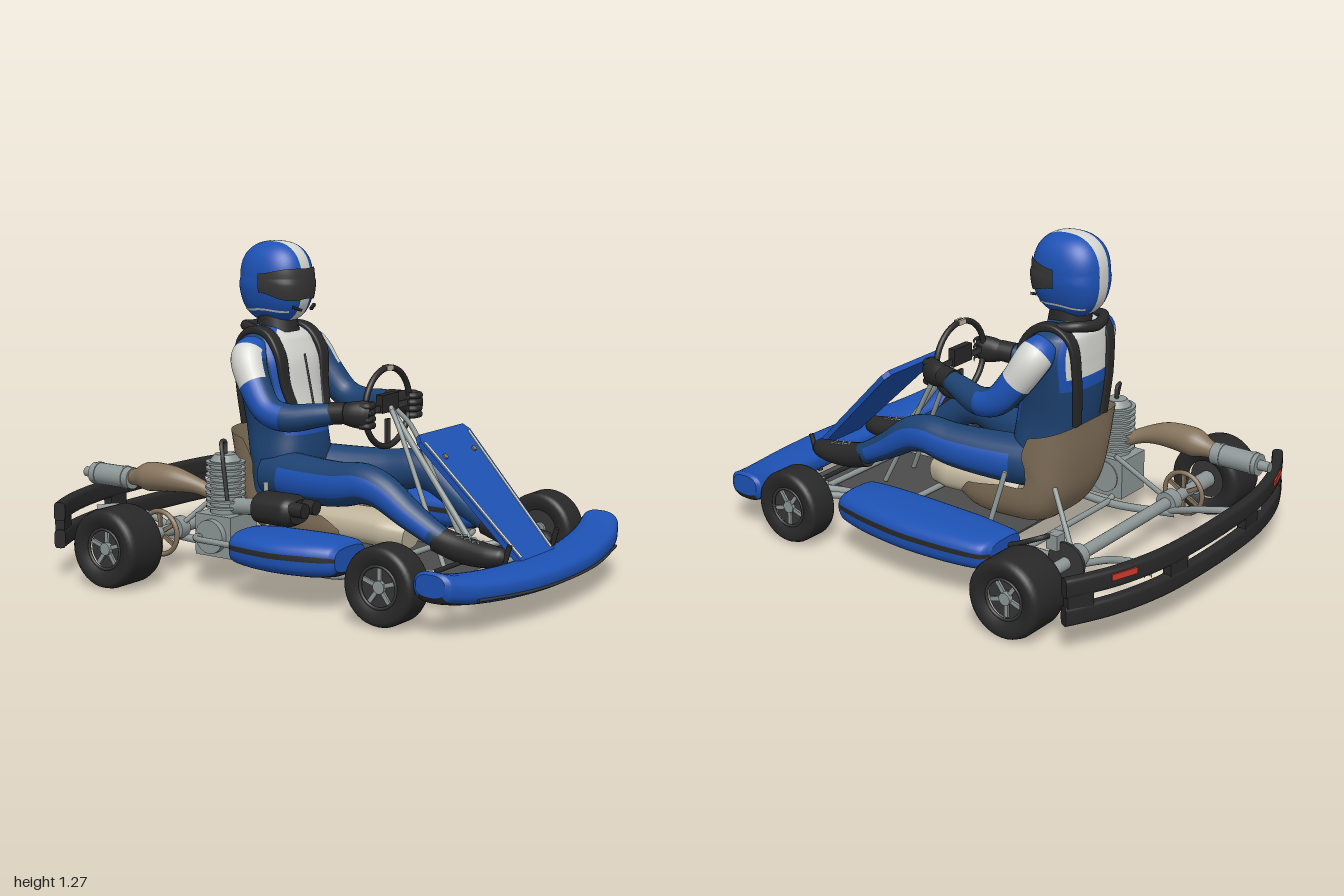
import * as THREE from 'three';

const mat = (name, color, side = THREE.FrontSide) => new THREE.MeshStandardMaterial({ name, color, side });
const V = (x, y, z) => new THREE.Vector3(x, y, z);
const X = V(1, 0, 0), Y = V(0, 1, 0), Z = V(0, 0, 1);

// Sweep of superellipse sections; rows are [x, y, z, halfU, halfV], U lies along ref, dir fixes the section normal
function sweep(rows, { ref = X, dir = null, n = 2, seg = 24, step = 5 } = {}) {
  const path = new THREE.CatmullRomCurve3(rows.map(r => V(r[0], r[1], r[2])));
  const size = new THREE.CatmullRomCurve3(rows.map(r => V(r[3], r[4] ?? r[3], 0)));
  const m = (rows.length - 1) * step, pos = [], idx = [];
  const ring = t => {
    const c = path.getPoint(t), s = size.getPoint(t), d = dir ?? path.getTangent(t);
    const u = ref.clone().addScaledVector(d, -ref.dot(d)).normalize(), v = d.clone().cross(u);
    for (let j = 0; j < seg; j++) {
      const a = j / seg * Math.PI * 2, f = k => Math.sign(k) * Math.abs(k) ** (2 / n);
      pos.push(...c.clone().addScaledVector(u, s.x * f(Math.cos(a))).addScaledVector(v, s.y * f(Math.sin(a))).toArray());
    }
    return c;
  };
  for (let i = 0; i <= m; i++) ring(i / m);
  for (let i = 0; i < m; i++) for (let j = 0; j < seg; j++) {
    const a = i * seg + j, b = i * seg + (j + 1) % seg;
    idx.push(a, b, a + seg, b, b + seg, a + seg);
  }
  for (const end of [0, 1]) {
    const b = pos.length / 3, c = ring(end);
    pos.push(...c.toArray());
    for (let j = 0; j < seg; j++) {
      const k = b + (j + 1) % seg;
      idx.push(b + seg, end ? b + j : k, end ? k : b + j);
    }
  }
  const g = new THREE.BufferGeometry();
  g.setAttribute('position', new THREE.Float32BufferAttribute(pos, 3));
  g.setIndex(idx);
  g.computeVertexNormals();
  return g;
}

// Sorts faces into material groups by their centre and their number
function paint(g, mats, pick) {
  const p = g.attributes.position, old = g.index.array, sets = mats.map(() => []);
  for (let i = 0; i < old.length; i += 3) {
    const t = [old[i], old[i + 1], old[i + 2]], mean = f => (p[f](t[0]) + p[f](t[1]) + p[f](t[2])) / 3;
    sets[pick(mean('getX'), mean('getY'), mean('getZ'), i / 3)].push(...t);
  }
  g.setIndex(sets.flat());
  let start = 0;
  sets.forEach((s, i) => { g.addGroup(start, s.length, i); start += s.length; });
  return g;
}
// Row of a swept face, and how far it faces along ref (-1 to 1)
const rowOf = (k, seg) => Math.floor(k / (2 * seg));
const facing = (k, seg) => Math.cos((Math.floor(k / 2) % seg + 0.5) / seg * Math.PI * 2);

export function createModel() {
  const blue = mat('blue', 0x1d52b5), navy = mat('navy', 0x1d4272), white = mat('white', 0xd6d6d2);
  const black = mat('black', 0x282828), charcoal = mat('charcoal', 0x363636), grey = mat('metal grey', 0x8d9696);
  const tan = mat('tan', 0x85735c, THREE.DoubleSide), beige = mat('beige', 0xc0b59c), red = mat('red', 0xd0382a);
  const floorGrey = mat('floor grey', 0x4c4c4c);
  const root = new THREE.Group();
  root.name = 'kart';
  const add = (name, geo, m, x = 0, y = 0, z = 0, parent = root) => {
    const o = new THREE.Mesh(geo, m);
    o.name = name; o.position.set(x, y, z); parent.add(o);
    return o;
  };
  const box = (name, m, w, h, d, x, y, z) => add(name, new THREE.BoxGeometry(w, h, d), m, x, y, z);
  const tube = (name, pts, r, m = grey) =>
    add(name, new THREE.TubeGeometry(new THREE.CatmullRomCurve3(pts.map(p => V(...p))), pts.length * 8, r, 10), m);
  const rod = (name, a, b, r, m = grey, r2 = r) => {
    const A = V(...a), B = V(...b), d = B.clone().sub(A);
    const o = add(name, new THREE.CylinderGeometry(r2, r, d.length(), 20), m);
    o.position.copy(A.add(B).multiplyScalar(0.5));
    o.quaternion.setFromUnitVectors(Y, d.normalize());
  };
  const flip = (rows, s) => rows.map(([x, ...rest]) => [x * s, ...rest]);

  // Wheels
  function wheel(name, x, y, z, R, W) {
    const g = new THREE.Group(), h = W / 2, s = Math.sign(x);
    g.name = name; g.position.set(x, y, z); g.rotation.z = -s * Math.PI / 2; root.add(g);
    const half = [[0.078, 0.8], [R * 0.7, 0.98], [R * 0.87, 1], [R * 0.96, 0.9], [R, 0.68]];
    const prof = [...half.map(([r, k]) => [r, -k * h]), ...half.slice().reverse().map(([r, k]) => [r, k * h])];
    add('tyre', new THREE.LatheGeometry(prof.map(p => new THREE.Vector2(...p)), 40), black, 0, 0, 0, g);
    add('rimDisc', new THREE.CylinderGeometry(0.08, 0.08, W * 0.6, 32), charcoal, 0, 0, 0, g);
    const lip = add('rimLip', new THREE.TorusGeometry(0.076, 0.006, 8, 36), charcoal, 0, h * 0.8, 0, g);
    lip.rotation.x = Math.PI / 2;
    add('hub', new THREE.CylinderGeometry(0.024, 0.028, W * 0.8, 16), grey, 0, 0, 0, g);
    for (let i = 0; i < 5; i++) {
      const a = i / 5 * Math.PI * 2;
      const sp = add('spoke', new THREE.BoxGeometry(0.062, 0.014, 0.016), grey, Math.cos(a) * 0.042, h * 0.62, Math.sin(a) * 0.042, g);
      sp.rotation.y = -a;
    }
  }

  // Front bumper with dark underside and trim line
  const nose = [[0.615, 0.187, 0.795, 0.04, 0.06], [0.6, 0.18, 0.797, 0.056, 0.079], [0.5, 0.158, 0.83, 0.052, 0.09],
    [0.25, 0.14, 0.88, 0.05, 0.097]];
  add('frontBumper', paint(sweep([...flip(nose, -1), [0, 0.137, 0.895, 0.05, 0.1], ...nose.slice().reverse()], { ref: Y, dir: X, n: 2.6, seg: 32 }),
    [blue, black], (x, y, z, k) => rowOf(k, 32) < 40 && facing(k, 32) < -0.75 ? 1 : 0), [blue, black]);
  add('bumperTrim', sweep([[-0.5, 0.13, 0.918, 0.006], [-0.25, 0.118, 0.974, 0.006], [0, 0.115, 0.99, 0.006], [0.25, 0.118, 0.974, 0.006],
    [0.5, 0.13, 0.918, 0.006]], { ref: Y, seg: 8 }), charcoal);

  // Sloping front panel
  const panel = new THREE.Group();
  panel.name = 'frontPanel'; panel.position.set(0, 0.18, 0.87); panel.rotation.x = -Math.PI / 4; root.add(panel);
  const sheet = (pts, d) => new THREE.ExtrudeGeometry(new THREE.Shape(pts.map(p => new THREE.Vector2(...p))), { depth: d, bevelEnabled: false });
  add('panelSheet', sheet([[-0.12, 0], [0.12, 0], [0.17, 0.575], [0.15, 0.605], [-0.15, 0.605], [-0.17, 0.575]], 0.022), blue, 0, 0, -0.022, panel);
  for (const s of [-1, 1]) {
    const line = [[0.1, 0.02], [0.113, 0.02], [0.158, 0.57], [0.145, 0.57]].map(([x, y]) => [x * s, y]);
    add('panelStripe', sheet(s > 0 ? line : line.reverse(), 0.003), white, 0, 0, 0, panel);
    const bolt = add('panelBolt', new THREE.CylinderGeometry(0.011, 0.011, 0.008, 12), tan, s * 0.1, 0.49, 0.003, panel);
    bolt.rotation.x = Math.PI / 2;
  }

  // Side pods: the engine side is shorter
  for (const [s, z0] of [[1, -0.385], [-1, -0.1]]) {
    const rows = [[0, 0.395, 0.575, 0.045], [0.03, 0.385, 0.61, 0.06], [0.25, 0.368, 0.637, 0.069], [0.5, 0.36, 0.642, 0.071],
      [0.78, 0.358, 0.615, 0.071], [0.96, 0.36, 0.58, 0.062], [1, 0.37, 0.56, 0.045]]
      .map(([t, a, b, h]) => [s * (a + b) / 2, 0.194, z0 + (0.355 - z0) * t, h, (b - a) / 2]);
    add('sidePod', paint(sweep(rows, { ref: Y, dir: Z, n: 3, seg: 40 }), [blue, black], (x, y, z, k) =>
      rowOf(k, 40) < 30 && (facing(k, 40) < -0.7 || Math.abs(facing(k, 40) - 0.08) < 0.08) ? 1 : 0), [blue, black]);
  }

  // Rear bumper: two curved rails, posts and red markers
  const rearZ = x => -0.973 + 0.155 * (Math.abs(x) / 0.73) ** 2.8;
  const xs = [-0.73, -0.7, -0.55, -0.35, -0.15, 0.15, 0.35, 0.55, 0.7, 0.73];
  for (const y of [0.262, 0.155])
    add('rearBumperRail', sweep(xs.map(x => [x, y, rearZ(x), 0.036, 0.022]), { ref: Y, n: 4 }), black);
  for (const x of [-0.68, -0.25, 0.25, 0.68]) {
    const p = box('rearBumperPost', black, 0.1, 0.12, 0.036, x, 0.21, rearZ(x));
    p.rotation.y = -Math.atan(rearZ(x + 0.01) * 100 - rearZ(x) * 100);
  }
  for (const s of [-1, 1]) {
    const p = box('redMarker', red, 0.11, 0.024, 0.008, s * 0.53, 0.272, rearZ(0.53) - 0.023);
    p.rotation.y = -s * 0.32;
  }

  // Chassis
  const floor = add('floorPan', sheet([[-0.21, -0.8], [0.21, -0.8], [0.25, -0.35], [0.295, -0.05], [0.27, 0.2], [-0.27, 0.2], [-0.295, -0.05], [-0.25, -0.35]], 0.008), floorGrey, 0, 0.082, 0);
  floor.rotation.x = -Math.PI / 2;
  for (const s of [-1, 1]) {
    tube('mainRail', flip([[0.3, 0.12, -0.62], [0.27, 0.1, -0.35], [0.3, 0.1, 0.05], [0.25, 0.1, 0.32], [0.27, 0.1, 0.58], [0.37, 0.11, 0.77]], s), 0.016);
    tube('bumperStay', flip([[0.39, 0.2, -0.94], [0.31, 0.2, -0.88], [0.28, 0.17, -0.72], [0.3, 0.12, -0.58]], s), 0.014);
    rod('seatStay', [s * 0.2, 0.34, -0.4], [s * 0.32, 0.16, -0.57], 0.01);
    rod('seatStrut', [s * 0.24, 0.37, -0.2], [s * 0.29, 0.12, -0.15], 0.01);
    rod('axleBearing', [s * 0.29, 0.155, -0.58], [s * 0.34, 0.155, -0.58], 0.045);
    rod('rearHub', [s * 0.5, 0.155, -0.58], [s * 0.6, 0.155, -0.58], 0.034);
    rod('kingpin', [s * 0.42, 0.09, 0.57], [s * 0.42, 0.21, 0.57], 0.016);
    rod('stubAxle', [s * 0.4, 0.15, 0.57], [s * 0.55, 0.15, 0.57], 0.016);
    for (const z of [0.45, 0.68]) rod('frontArm', [s * 0.27, 0.105, z], [s * 0.42, 0.14, 0.57], 0.014);
    rod('steeringArm', [s * 0.42, 0.16, 0.57], [s * 0.35, 0.16, 0.64], 0.009);
    tube('columnBrace', flip([[0.09, 0.1, 0.52], [0.07, 0.29, 0.43], [0.04, 0.6, 0.28], [0.015, 0.66, 0.23]], s), 0.01);
    rod('pedal', [s * 0.17, 0.1, 0.8], [s * 0.17, 0.25, 0.845], 0.01, black);
    wheel('frontWheel', s * 0.555, 0.148, 0.575, 0.145, 0.13);
    wheel('rearWheel', s * 0.67, 0.152, -0.575, 0.152, 0.19);
  }
  for (const [z, w] of [[-0.33, 0.27], [0.3, 0.25], [0.66, 0.3]]) rod('crossTube', [-w, 0.107, z], [w, 0.107, z], 0.012);
  tube('podBar', [[0.28, 0.1, -0.33], [0.42, 0.14, -0.33], [0.48, 0.12, -0.2], [0.48, 0.115, 0.25], [0.43, 0.12, 0.32], [0.26, 0.1, 0.32]], 0.012);
  tube('podBar', [[-0.28, 0.1, -0.32], [-0.5, 0.19, -0.32], [-0.57, 0.2, -0.27], [-0.585, 0.2, -0.08], [-0.48, 0.12, 0.28], [-0.26, 0.1, 0.32]], 0.012);
  rod('rearAxle', [-0.6, 0.155, -0.58], [0.6, 0.155, -0.58], 0.024);
  rod('tieRod', [-0.35, 0.16, 0.64], [0.35, 0.16, 0.64], 0.009, black);
  rod('brakeDisc', [0.37, 0.155, -0.58], [0.382, 0.155, -0.58], 0.08, charcoal);
  box('brakeCaliper', grey, 0.05, 0.06, 0.05, 0.375, 0.23, -0.53);
  tube('brakeLine', [[0.37, 0.25, -0.52], [0.43, 0.25, -0.5], [0.46, 0.2, -0.38], [0.43, 0.14, -0.2]], 0.01, black);
  const sprocket = add('sprocket', new THREE.TorusGeometry(0.085, 0.01, 8, 36), tan, -0.42, 0.155, -0.58);
  sprocket.rotation.y = Math.PI / 2;
  for (let i = 0; i < 3; i++) box('sprocketSpoke', tan, 0.01, 0.165, 0.016, -0.42, 0.155, -0.58).rotation.x = i * Math.PI / 3;

  // Engine, intake and exhaust
  box('crankcase', grey, 0.16, 0.16, 0.17, -0.385, 0.19, -0.28);
  rod('crankCover', [-0.49, 0.19, -0.28], [-0.3, 0.19, -0.28], 0.065);
  rod('cylinderCore', [-0.385, 0.25, -0.28], [-0.385, 0.47, -0.28], 0.06);
  for (let i = 0; i < 8; i++) rod('coolingFin', [-0.385, 0.29 + i * 0.024, -0.28], [-0.385, 0.299 + i * 0.024, -0.28], 0.076);
  rod('cylinderHead', [-0.385, 0.47, -0.28], [-0.385, 0.495, -0.28], 0.06, grey, 0.04);
  tube('sparkLead', [[-0.385, 0.49, -0.28], [-0.385, 0.54, -0.28], [-0.42, 0.545, -0.27], [-0.44, 0.5, -0.25], [-0.45, 0.33, -0.22]], 0.008, charcoal);
  rod('carburettor', [-0.39, 0.3, -0.23], [-0.4, 0.315, -0.08], 0.032);
  add('airbox', sweep([[-0.41, 0.32, -0.1, 0.05, 0.04], [-0.41, 0.32, -0.08, 0.075, 0.058], [-0.41, 0.32, 0.05, 0.078, 0.06], [-0.41, 0.32, 0.09, 0.06, 0.045]], { n: 2.5 }), black);
  for (const x of [-0.445, -0.375]) rod('intakeSnout', [x, 0.335, 0.06], [x, 0.335, 0.14], 0.028, black);
  add('exhaustPipe', sweep([[-0.385, 0.33, -0.33, 0.024], [-0.41, 0.36, -0.4, 0.032], [-0.43, 0.378, -0.5, 0.05], [-0.43, 0.375, -0.61, 0.057],
    [-0.428, 0.365, -0.68, 0.036], [-0.425, 0.358, -0.74, 0.024]]), tan);
  rod('silencer', [-0.425, 0.355, -0.71], [-0.425, 0.355, -0.91], 0.043);
  for (const z of [-0.74, -0.88]) rod('silencerBand', [-0.425, 0.355, z], [-0.425, 0.355, z - 0.012], 0.046);
  rod('tailpipe', [-0.425, 0.355, -0.9], [-0.425, 0.355, -0.955], 0.02);

  // Seat shell: a curled strip; stations are [y, z, halfWidth, rim rise in y, rim rise in z]
  const stations = [[0.16, 0.08, 0.15, 0.04, 0], [0.125, 0.02, 0.18, 0.13, 0], [0.12, -0.15, 0.2, 0.17, 0], [0.15, -0.3, 0.21, 0.16, 0.04],
    [0.25, -0.375, 0.22, 0.13, 0.1], [0.4, -0.41, 0.235, 0.05, 0.14], [0.56, -0.425, 0.245, -0.03, 0.12]];
  const sA = new THREE.CatmullRomCurve3(stations.map(s => V(s[2], s[0], s[1])));
  const sB = new THREE.CatmullRomCurve3(stations.map(s => V(0, s[3], s[4])));
  const seat = new THREE.PlaneGeometry(2, 1, 24, 30), sp = seat.attributes.position;
  for (let i = 0; i < sp.count; i++) {
    const u = sp.getX(i), t = Math.min(1, Math.max(0, sp.getY(i) + 0.5)), c = sA.getPoint(t), r = sB.getPoint(t), k = Math.abs(u) ** 3;
    sp.setXYZ(i, c.x * Math.sin(u * Math.PI / 2), c.y + r.y * k, c.z + r.z * k);
  }
  seat.computeVertexNormals();
  add('seat', seat, tan);
  add('fuelTank', sweep([[0, 0.2, -0.13, 0.07, 0.05], [0, 0.2, -0.06, 0.095, 0.065], [0, 0.195, 0.2, 0.1, 0.065], [0, 0.18, 0.31, 0.06, 0.05]], { n: 2.6 }), beige);

  // Steering
  add('steeringWheel', new THREE.TorusGeometry(0.15, 0.012, 12, 48), black, 0, 0.668, 0.2);
  rod('steeringColumn', [0, 0.67, 0.21], [0, 0.14, 0.62], 0.012);
  box('steeringDisplay', black, 0.11, 0.07, 0.03, 0, 0.685, 0.2);
  for (const a of [0, Math.PI, -Math.PI / 2])
    box('steeringSpoke', charcoal, 0.1, 0.024, 0.01, Math.cos(a) * 0.095, 0.668 + Math.sin(a) * 0.095, 0.2).rotation.z = a;
  box('wheelMark', beige, 0.04, 0.02, 0.026, 0, 0.818, 0.2);

  // Driver body
  const suit = [blue, navy, white];
  add('torso', paint(sweep([[0, 0.3, -0.25, 0.17, 0.12], [0, 0.45, -0.26, 0.165, 0.14], [0, 0.55, -0.275, 0.155, 0.145], [0, 0.7, -0.3, 0.172, 0.135],
    [0, 0.82, -0.31, 0.19, 0.122], [0, 0.9, -0.325, 0.165, 0.1], [0, 0.95, -0.33, 0.08, 0.06]], { n: 2.5, seg: 56, step: 8, dir: Y }), suit, (x, y, z, k) => {
    const row = rowOf(k, 56), side = Math.abs(facing(k, 56)), front = z > -0.29;
    if (row < 15) return 1;
    if (row > 47 || (side < (front ? 0.62 : 0.72) && row >= (front ? 18 : 27))) return 2;
    return side > 0.85 || (!front && row < 24) ? 1 : 0;
  }), suit);
  rod('zip', [0, 0.6, -0.137], [0, 0.84, -0.19], 0.004, charcoal);
  rod('collar', [0, 0.92, -0.32], [0, 1.0, -0.325], 0.085, black, 0.075);
  add('neckBrace', sweep([[-0.12, 0.935, -0.34, 0.018], [-0.09, 0.945, -0.41, 0.02], [0, 0.935, -0.44, 0.022], [0.09, 0.945, -0.41, 0.02], [0.12, 0.935, -0.34, 0.018]], { ref: Y }), black);

  for (const s of [-1, 1]) {
    const part = (name, rows, m, opt) => add(name, sweep(flip(rows, s), opt), m);
    part('harnessStrap', [[0.085, 0.58, -0.145, 0.022, 0.009], [0.122, 0.72, -0.188, 0.026, 0.01], [0.135, 0.85, -0.208, 0.029, 0.014], [0.128, 0.925, -0.27, 0.028, 0.016],
      [0.122, 0.935, -0.35, 0.027, 0.014], [0.116, 0.89, -0.41, 0.026, 0.01], [0.105, 0.75, -0.428, 0.024, 0.01], [0.085, 0.56, -0.418, 0.022, 0.01]], black, { n: 4 });
    // Sleeves: white shoulder patch, blue outer side, navy inside and forearm
    add('arm', paint(sweep(flip([[0.15, 0.875, -0.32, 0.055], [0.205, 0.835, -0.305, 0.07], [0.237, 0.74, -0.25, 0.063], [0.256, 0.655, -0.175, 0.057],
      [0.25, 0.632, -0.09, 0.055], [0.215, 0.648, 0.03, 0.046], [0.185, 0.662, 0.12, 0.036]], s), { step: 8 }), suit, (x, y, z, k) => {
      const row = rowOf(k, 24), out = facing(k, 24) * s;
      if (row < 16) return row > 5 && out > -0.05 ? 2 : row < 10 ? 0 : 1;
      return row < 31 && out > 0.6 ? 0 : 1;
    }), suit);
    part('gloveCuff', [[0.195, 0.658, 0.08, 0.043], [0.183, 0.663, 0.14, 0.041]], black);
    part('glove', [[0.185, 0.66, 0.12, 0.036, 0.036], [0.176, 0.66, 0.17, 0.04, 0.05], [0.165, 0.66, 0.21, 0.038, 0.054], [0.16, 0.658, 0.235, 0.025, 0.042]], black);
    for (let i = 0; i < 4; i++) {
      const y = 0.62 + i * 0.025;
      tube('finger', [[s * 0.185, y, 0.2], [s * 0.175, y, 0.23], [s * 0.145, y, 0.232], [s * 0.125, y, 0.212]], 0.013, black);
    }
    // Trousers with a narrow blue side stripe
    add('leg', paint(sweep(flip([[0.09, 0.375, -0.26, 0.1], [0.13, 0.375, -0.1, 0.09, 0.095], [0.168, 0.385, 0.1, 0.078, 0.086], [0.18, 0.403, 0.22, 0.07, 0.077],
      [0.182, 0.385, 0.3, 0.064, 0.07], [0.178, 0.31, 0.42, 0.056], [0.172, 0.24, 0.55, 0.045], [0.168, 0.215, 0.62, 0.042]], s), { step: 8 }), [blue, navy], (x, y, z, k) => {
      const row = rowOf(k, 24);
      return row > 4 && row < 46 && facing(k, 24) * s > 0.9 ? 0 : 1;
    }), [blue, navy]);
    part('shoe', [[0.172, 0.235, 0.54, 0.048, 0.05], [0.168, 0.208, 0.64, 0.045, 0.052], [0.165, 0.198, 0.75, 0.046, 0.045], [0.163, 0.2, 0.81, 0.034, 0.034], [0.163, 0.2, 0.83, 0.015, 0.015]], black);
    for (let i = 0; i < 3; i++) for (const d of [-1, 1]) {
      const y = 0.262 - i * 0.007, z = 0.64 + i * 0.035;
      rod('lace', [s * 0.167 - 0.02, y - 0.004, z - d * 0.014], [s * 0.167 + 0.02, y - 0.004, z + d * 0.014], 0.004, grey);
    }
  }

  // Helmet: squared ellipsoid, poles along x so the stripe follows its rows
  const shape = (g, k, taper) => {
    const p = g.attributes.position;
    for (let i = 0; i < p.count; i++) {
      const v = V(p.getX(i), p.getY(i), p.getZ(i)), e = v.y < 0 ? 2.7 : 2.4;
      v.y *= 1 - taper * Math.abs(v.x) ** 6;
      v.divideScalar((Math.abs(v.x) ** e + Math.abs(v.y) ** e + Math.abs(v.z) ** e) ** (1 / e));
      const y = Math.max(-0.165, v.y * (v.y > 0 ? 0.145 : 0.175 * k));
      p.setXYZ(i, v.x * 0.117 * k * (1 + Math.min(0, y + 0.03) * 1.1), y, v.z * 0.145 * k);
    }
    g.computeVertexNormals();
    return g;
  };
  const shell = new THREE.SphereGeometry(1, 48, 40).rotateZ(Math.PI / 2);
  add('helmet', shape(paint(shell, [blue, white], x => Math.abs(x) < 0.22 ? 1 : 0), 1, 0), [blue, white], 0, 1.13, -0.325);
  add('visor', shape(new THREE.SphereGeometry(1, 40, 12, 0, Math.PI, 1.27, 0.7), 1.045, 0.6), charcoal, 0, 1.13, -0.325);
  for (const s of [-1, 1]) {
    const mid = s > 0 ? Math.PI : 0;
    add('helmetSideLine', shape(new THREE.SphereGeometry(1, 24, 2, mid - 0.9, 1.8, 2.2, 0.05), 1.012, 0), white, 0, 1.13, -0.325);
    box('chinVent', black, 0.04, 0.01, 0.012, s * 0.05, 1.02, -0.188).rotation.set(0, s * 0.3, s * 0.35);
  }
  return root;
}
